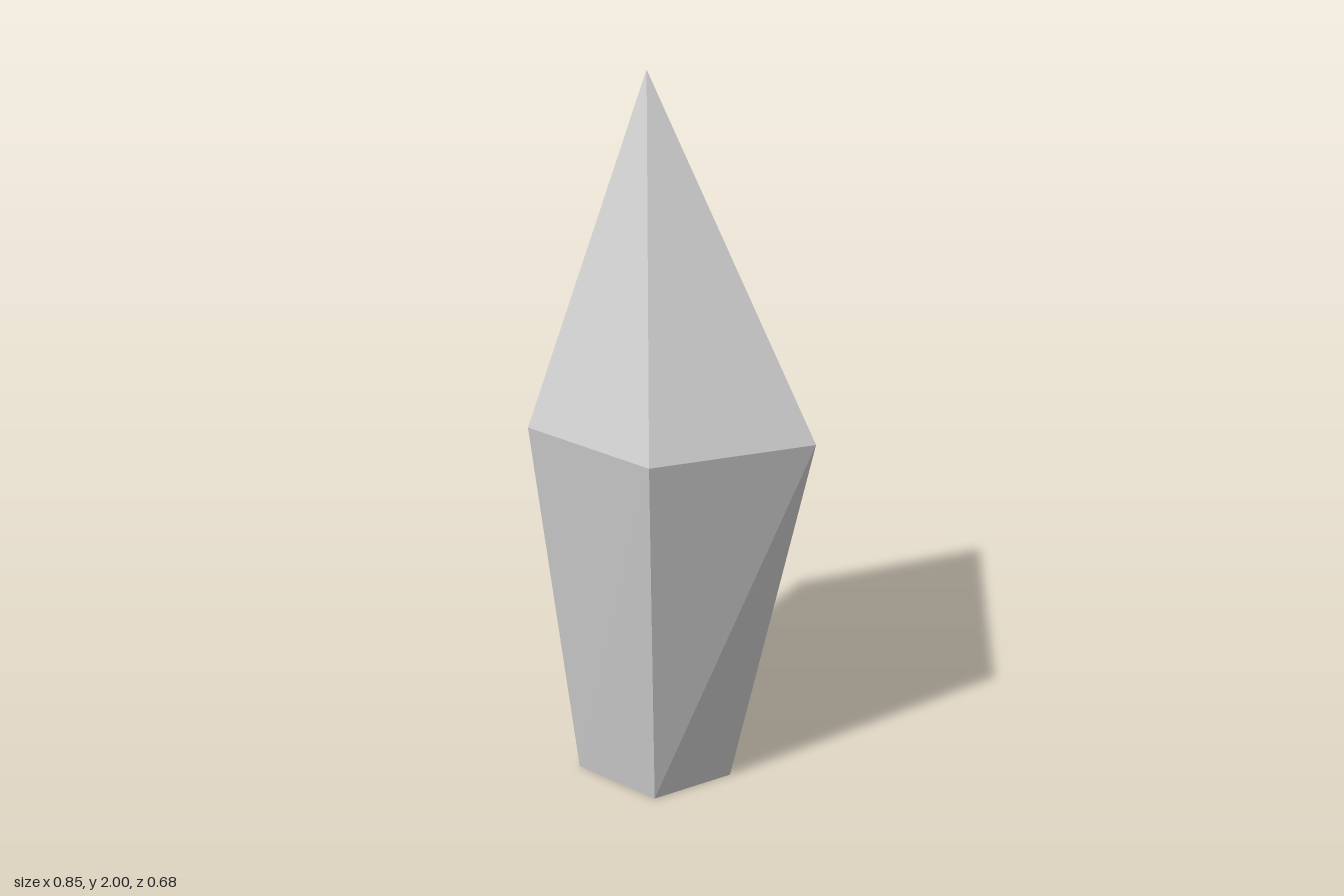
import * as THREE from 'three';

// Corners as [x, z], counter-clockwise seen from above
const shoulder = [[-0.425, -0.2], [-0.254, 0.322], [0.166, 0.338], [0.423, -0.04], [0.04, -0.34]];
const foot = [[-0.235, -0.085], [-0.185, 0.23], [0.09, 0.225], [0.195, 0], [0.013, -0.205]];
const shoulderY = 1.1;
const tip = [-0.147, 2, -0.067];

const ring = (corners, y) => corners.map(([x, z]) => [x, y, z]);

function facetMesh(name, triangles, material) {
  const geometry = new THREE.BufferGeometry();
  geometry.setAttribute('position', new THREE.Float32BufferAttribute(triangles.flat(2), 3));
  geometry.computeVertexNormals(); // unshared corners give flat facets
  const mesh = new THREE.Mesh(geometry, material);
  mesh.name = name;
  return mesh;
}

export function createModel() {
  const group = new THREE.Group();
  group.name = 'crystal';
  const stone = new THREE.MeshStandardMaterial({ color: 0xcccccc });
  stone.name = 'pale grey stone';

  const top = ring(shoulder, shoulderY);
  const bottom = ring(foot, 0);
  const point = [], shaft = [], base = [];
  for (let i = 0; i < top.length; i++) {
    const j = (i + 1) % top.length;
    point.push([top[i], top[j], tip]);
    shaft.push([bottom[i], bottom[j], top[j]], [bottom[i], top[j], top[i]]);
    if (i > 0 && j > 0) base.push([bottom[0], bottom[j], bottom[i]]);
  }

  group.add(
    facetMesh('crystalPoint', point, stone),
    facetMesh('crystalShaft', shaft, stone),
    facetMesh('crystalBase', base, stone),
  );
  return group;
}
